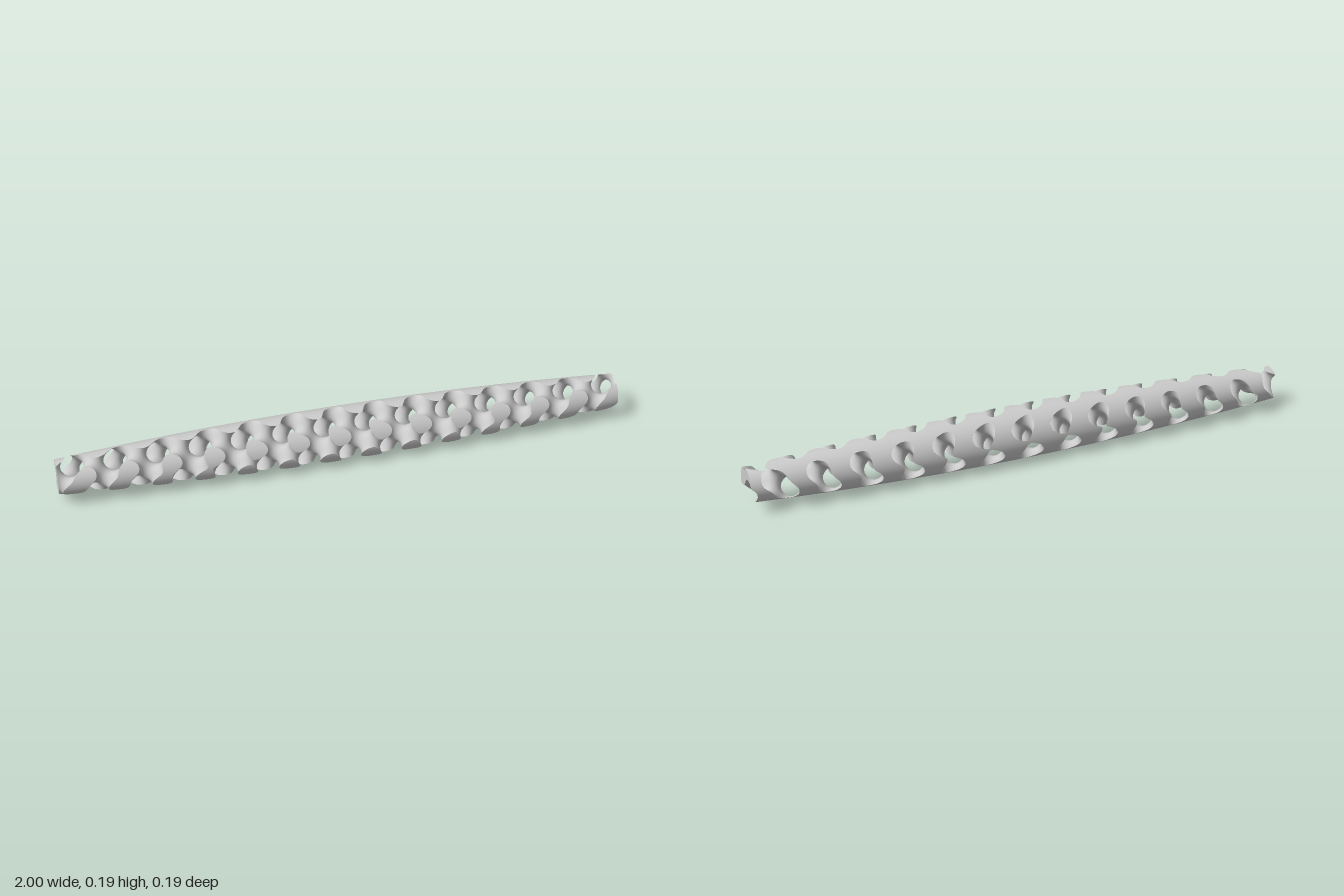
import * as THREE from 'three';

const PERIOD = 0.1462, K = 2 * Math.PI / PERIOD;
const CENTRE_Y = 0.096, LEVEL = 0.16;
const NX = 184, N = 16; // grid steps along and across the rod

// Gently tapering round envelope
const radius = (x) => 0.0955 - 0.0345 * x * x;

// Gyroid lattice: solid where field > 0
const phase = (p) => [K * (p.x + 0.05) + Math.PI, K * (p.y - CENTRE_Y) + Math.PI / 2, Math.PI / 2 - K * p.z];
function field(p) {
  const [a, b, c] = phase(p);
  return Math.sin(a) * Math.cos(b) + Math.sin(b) * Math.cos(c) + Math.sin(c) * Math.cos(a) - LEVEL;
}
// Outward direction of the lattice surface
function latticeNormal(p) {
  const [a, b, c] = phase(p), { sin, cos } = Math;
  return new THREE.Vector3(
    sin(c) * sin(a) - cos(a) * cos(b),
    sin(a) * sin(b) - cos(b) * cos(c),
    cos(c) * cos(a) - sin(b) * sin(c)).normalize();
}
const sideNormal = (p) => new THREE.Vector3(0.069 * p.x * radius(p.x), p.y - CENTRE_Y, p.z).normalize();
const endNormal = (p) => new THREE.Vector3(Math.sign(p.x), 0, 0);

// Grid point: a square grid bent into the round cross-section
function gridPoint(i, j, k) {
  const x = -1 + 2 * i / NX, u = -1 + 2 * j / N, v = -1 + 2 * k / N, r = radius(x);
  const p = new THREE.Vector3(x, CENTRE_Y + r * u * Math.sqrt(1 - v * v / 2), r * v * Math.sqrt(1 - u * u / 2));
  p.f = field(p);
  return p;
}

// Where the lattice surface crosses an edge
function crossing(a, b) {
  let lo = a, hi = b, m = a;
  for (let s = 0; s < 2; s++) {
    m = new THREE.Vector3().lerpVectors(lo, hi, lo.f / (lo.f - hi.f));
    m.f = field(m);
    if (m.f === 0) break;
    if ((m.f > 0) === (lo.f > 0)) lo = m; else hi = m;
  }
  return m;
}

// Collects triangles, turning each one outwards
class Skin {
  constructor() { this.pos = []; this.nor = []; }
  polygon(points, normalAt) {
    for (let i = 1; i + 1 < points.length; i++) {
      let t = [points[0], points[i], points[i + 1]];
      const face = t[1].clone().sub(t[0]).cross(t[2].clone().sub(t[0]));
      if (face.lengthSq() < 1e-18) continue;
      const normals = t.map(normalAt);
      const sum = normals[0].clone().add(normals[1]).add(normals[2]);
      const order = face.dot(sum) < 0 ? [0, 2, 1] : [0, 1, 2];
      for (const o of order) {
        this.pos.push(t[o].x, t[o].y, t[o].z);
        this.nor.push(normals[o].x, normals[o].y, normals[o].z);
      }
    }
  }
  mesh(name, material) {
    const g = new THREE.BufferGeometry();
    g.setAttribute('position', new THREE.Float32BufferAttribute(this.pos, 3));
    g.setAttribute('normal', new THREE.Float32BufferAttribute(this.nor, 3));
    const m = new THREE.Mesh(g, material);
    m.name = name;
    return m;
  }
}

// Lattice surface inside one tetrahedron
function cutTetra(skin, tet) {
  const solid = tet.filter((p) => p.f > 0), open = tet.filter((p) => p.f <= 0);
  if (!solid.length || !open.length) return;
  if (solid.length === 2) {
    const [a, b] = solid, [c, d] = open;
    skin.polygon([crossing(a, c), crossing(a, d), crossing(b, d), crossing(b, c)], latticeNormal);
  } else {
    const [one, rest] = solid.length === 1 ? [solid[0], open] : [open[0], solid];
    skin.polygon(rest.map((p) => crossing(one, p)), latticeNormal);
  }
}

// Solid part of one triangle on the envelope
function clipTriangle(skin, tri, normalAt) {
  const out = [];
  tri.forEach((a, i) => {
    const b = tri[(i + 1) % 3];
    if (a.f > 0) out.push(a);
    if ((a.f > 0) !== (b.f > 0)) out.push(crossing(a, b));
  });
  skin.polygon(out, normalAt);
}

export function createModel() {
  const group = new THREE.Group();
  group.name = 'latticeRod';
  const material = new THREE.MeshStandardMaterial({ color: 0xcccccc });
  const lattice = new Skin(), side = new Skin(), ends = new Skin();

  const points = [];
  for (let i = 0; i <= NX; i++)
    for (let j = 0; j <= N; j++)
      for (let k = 0; k <= N; k++) points.push(gridPoint(i, j, k));
  const at = (i, j, k) => points[(i * (N + 1) + j) * (N + 1) + k];

  // Inner lattice walls: each grid cell split into six tetrahedra
  const paths = [[0, 1, 2], [0, 2, 1], [1, 0, 2], [1, 2, 0], [2, 0, 1], [2, 1, 0]];
  for (let i = 0; i < NX; i++)
    for (let j = 0; j < N; j++)
      for (let k = 0; k < N; k++)
        for (const path of paths) {
          const q = [i, j, k], tet = [at(...q)];
          for (const axis of path) { q[axis]++; tet.push(at(...q)); }
          cutTetra(lattice, tet);
        }

  // Envelope: the outer faces of the grid, kept only where solid
  const face = (skin, normalAt, na, nb, get) => {
    for (let a = 0; a < na; a++)
      for (let b = 0; b < nb; b++) {
        const p = get(a, b), r = get(a + 1, b + 1);
        clipTriangle(skin, [p, get(a + 1, b), r], normalAt);
        clipTriangle(skin, [p, r, get(a, b + 1)], normalAt);
      }
  };
  for (const e of [0, N]) {
    face(side, sideNormal, NX, N, (i, k) => at(i, e, k));
    face(side, sideNormal, NX, N, (i, j) => at(i, j, e));
  }
  for (const e of [0, NX]) face(ends, endNormal, N, N, (j, k) => at(e, j, k));

  group.add(lattice.mesh('latticeWalls', material), side.mesh('outerSurface', material), ends.mesh('endFaces', material));
  return group;
}
